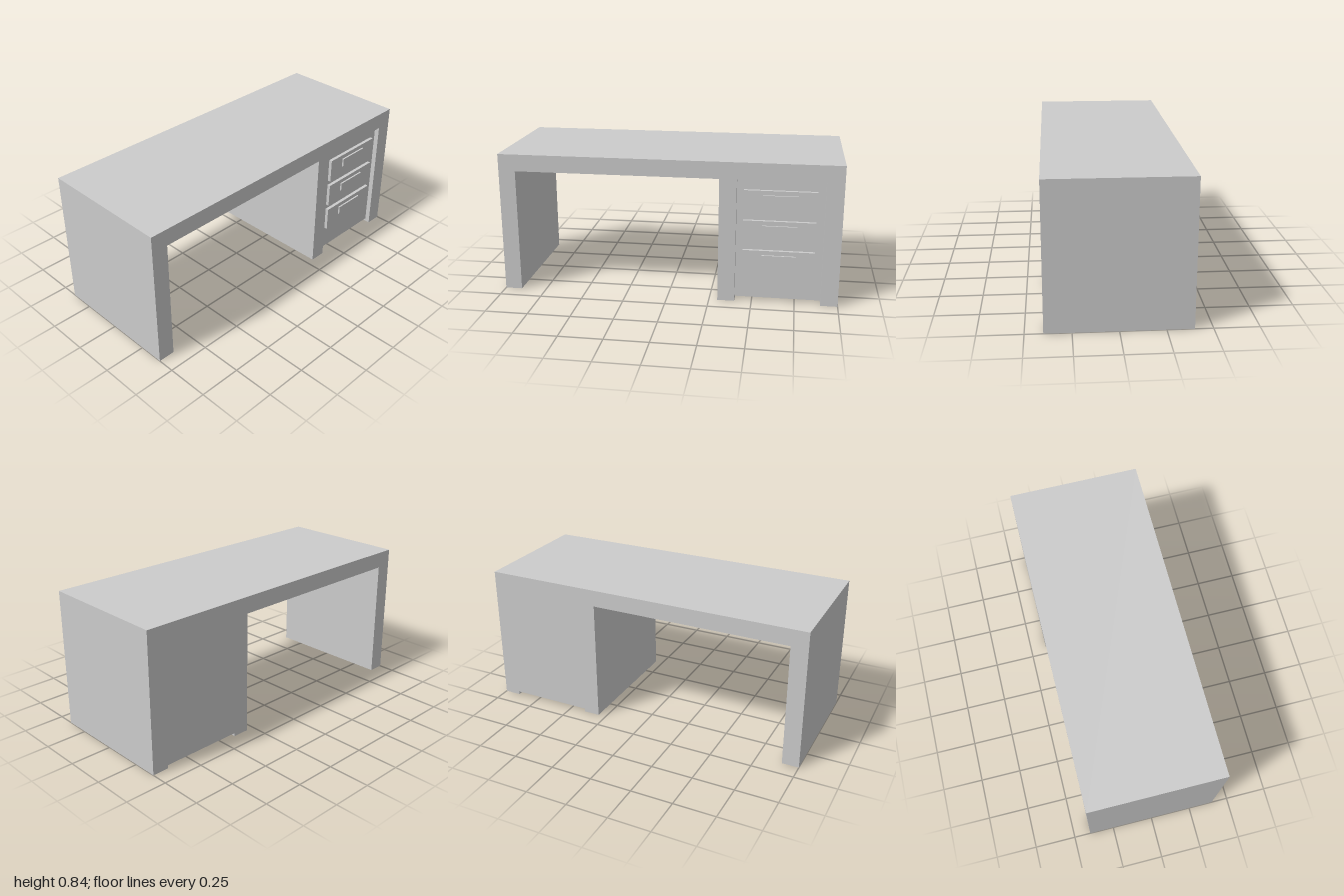
import * as THREE from 'three';

export function createModel() {
  const desk = new THREE.Group();
  desk.name = 'desk';
  const material = new THREE.MeshStandardMaterial({ color: 0xcccccc });

  // Box given by its lower and upper corners
  function box(name, parent, [x0, y0, z0], [x1, y1, z1]) {
    const mesh = new THREE.Mesh(new THREE.BoxGeometry(x1 - x0, y1 - y0, z1 - z0), material);
    mesh.position.set((x0 + x1) / 2, (y0 + y1) / 2, (z0 + z1) / 2);
    mesh.name = name;
    parent.add(mesh);
  }

  // Top and three upright panels in one continuous frame
  const outline = [
    [-1, 0], [-0.9, 0], [-0.9, 0.74], [0.3, 0.74], [0.3, 0], [0.4, 0],
    [0.4, 0.74], [0.9, 0.74], [0.9, 0], [1, 0], [1, 0.84], [-1, 0.84],
  ];
  const shape = new THREE.Shape(outline.map(([x, y]) => new THREE.Vector2(x, y)));
  const frame = new THREE.Mesh(
    new THREE.ExtrudeGeometry(shape, { depth: 0.8, bevelEnabled: false }), material);
  frame.position.z = -0.4;
  frame.name = 'topAndSidePanels';
  desk.add(frame);

  // Cabinet body, set back from the front edge and raised off the floor
  box('cabinet', desk, [0.4, 0.02, -0.4], [0.9, 0.74, 0.37]);

  // Drawer fronts with pulls
  for (const y of [0.17, 0.35, 0.53]) {
    const drawer = new THREE.Group();
    drawer.name = 'drawer';
    box('drawerFront', drawer, [0.44, y, 0.36], [0.855, y + 0.148, 0.39]);
    box('drawerPull', drawer, [0.548, y + 0.068, 0.385], [0.748, y + 0.122, 0.4]);
    desk.add(drawer);
  }
  return desk;
}
